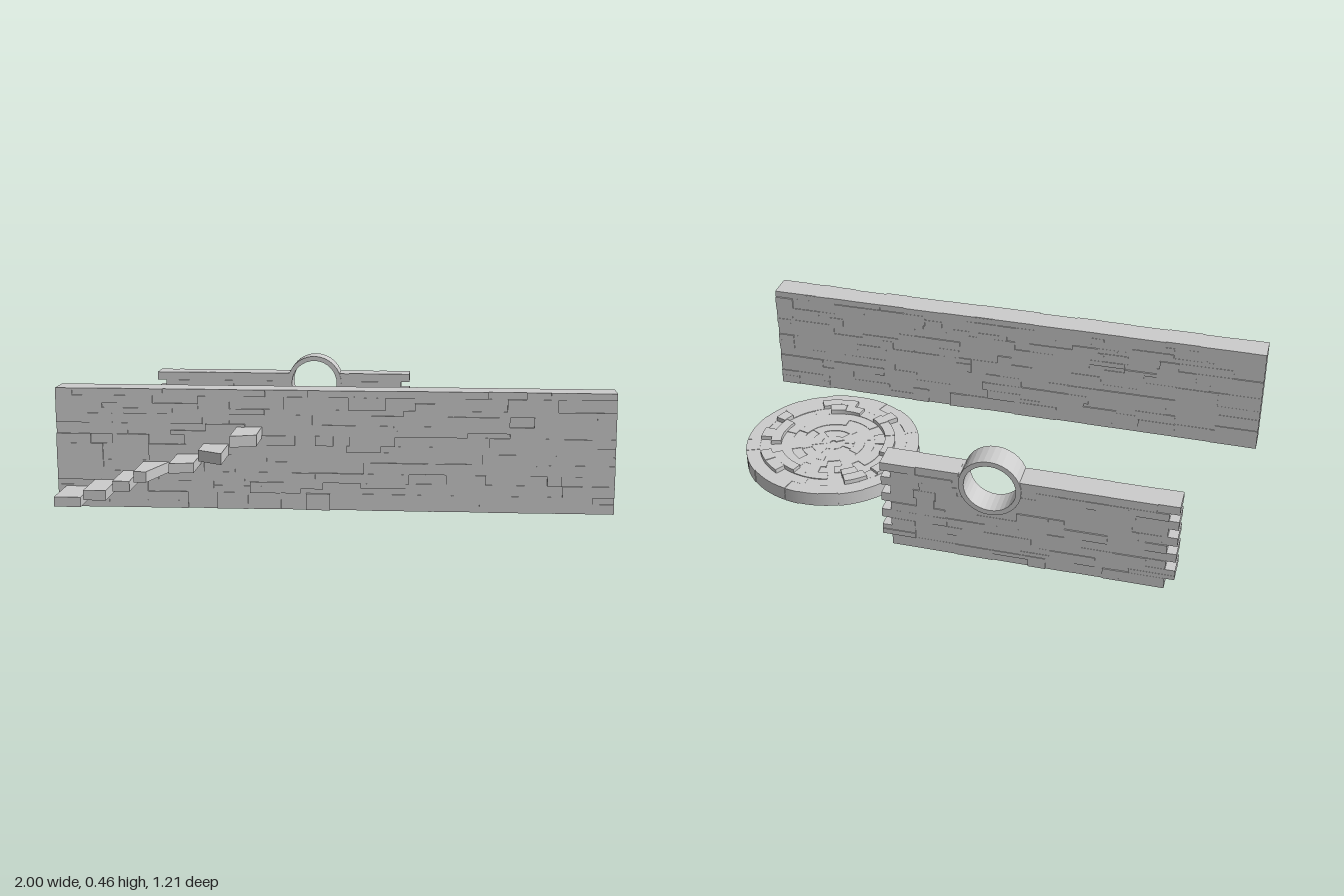
import * as THREE from 'three';
import { mergeGeometries } from 'three/addons/utils/BufferGeometryUtils.js';

const stone = new THREE.MeshStandardMaterial({ color: 0xcccccc, flatShading: true });

// Small seeded generator for the stonework
let seed = 7;
const rand = (a = 0, b = 1) => {
  seed = (seed * 16807) % 2147483647;
  return a + (b - a) * (seed / 2147483647);
};

// Merges indexed and non-indexed pieces into one part
function mesh(name, geometries) {
  const pieces = geometries.map((g) => (g.index ? g.toNonIndexed() : g));
  const m = new THREE.Mesh(mergeGeometries(pieces), stone);
  m.name = name;
  return m;
}

function block(x0, x1, y0, y1, z0, z1) {
  return new THREE.BoxGeometry(x1 - x0, y1 - y0, z1 - z0)
    .translate((x0 + x1) / 2, (y0 + y1) / 2, (z0 + z1) / 2);
}

function extrude(shape, depth, curveSegments = 12) {
  return new THREE.ExtrudeGeometry(shape, { depth, bevelEnabled: false, curveSegments });
}

// Upright prism over a plan outline of [x, z] corners
function prism(plan, y0, y1) {
  const shape = new THREE.Shape(plan.map(([x, z]) => new THREE.Vector2(x, -z)));
  return extrude(shape, y1 - y0).rotateX(-Math.PI / 2).translate(0, y0, 0);
}

// Calls place(x0, x1, y0, y1) for each stone of a coursed wall
function courses(rows, left, right, place) {
  for (let r = 0; r < rows.length - 1; r++) {
    let x = left;
    while (x < right) {
      let x1 = x + rand(0.05, 0.17);
      if (right - x1 < 0.05) x1 = right;
      const [y0, y1] = [rows[r], rows[r + 1]];
      if (y1 - y0 > 0.04 && rand() < 0.35) {
        const mid = y0 + (y1 - y0) * rand(0.35, 0.65);
        place(x, x1, y0, mid);
        place(x, x1, mid, y1);
      } else place(x, x1, y0, y1);
      x = x1;
    }
  }
}

// Long straight wall, each stone running through its thickness
function longWall() {
  const rows = [0.03, 0.09, 0.13, 0.165, 0.205, 0.265, 0.3, 0.34, 0.375, 0.395, 0.44, 0.465];
  const parts = [block(-0.995, 0.995, 0.031, 0.462, 0.33, 0.42)];
  courses(rows, -1, 1, (x0, x1, y0, y1) =>
    parts.push(block(x0, x1, y0, y1, rand(0.324, 0.331), rand(0.42, 0.43))));
  return mesh('longWall', parts);
}

// Cantilevered steps climbing the wall, the upper ones with broken ends
function stairs() {
  const group = new THREE.Group();
  group.name = 'stairs';
  const z = 0.41, tip = 0.603;
  // left, right at the wall, right at the tip, tip z on each side, underside, top
  const steps = [
    [-0.97, -0.875, -0.875, tip, tip, 0.07, 0.105],
    [-0.865, -0.785, -0.785, tip, tip, 0.095, 0.13],
    [-0.76, -0.7, -0.7, tip, tip, 0.128, 0.165],
    [-0.685, -0.585, -0.64, tip, tip, 0.162, 0.2],
    [-0.56, -0.475, -0.475, tip, 0.585, 0.195, 0.23],
    [-0.465, -0.375, -0.375, 0.545, tip, 0.228, 0.268],
    [-0.345, -0.255, -0.255, tip, 0.575, 0.29, 0.33],
  ];
  for (const [x0, x1, xTip, zl, zr, y0, y1] of steps) {
    group.add(mesh('step', [prism([[x0, z], [x0, zl], [xTip, zr], [x1, z]], y0, y1)]));
  }
  return group;
}

// Short wall with toothed ends and a round window rising above its top
function windowWall() {
  const group = new THREE.Group();
  group.name = 'windowWall';
  const rows = [0.03, 0.075, 0.115, 0.15, 0.185, 0.22, 0.255, 0.29, 0.325, 0.355, 0.388];
  const cx = -0.148, cy = 0.347, outer = 0.113, inner = 0.094, top = rows[10];
  const left = (r) => (r % 2 ? -0.81 : -0.775);
  const right = (r) => (r % 2 ? 0.25 : 0.215);

  // Core outline: up the right teeth, around the window, down the left teeth
  const a = Math.asin((top - cy) / outer);
  const shape = new THREE.Shape();
  shape.moveTo(left(0), rows[0]);
  for (let r = 0; r < 10; r++) {
    shape.lineTo(right(r), rows[r]);
    shape.lineTo(right(r), rows[r + 1]);
  }
  shape.absarc(cx, cy, outer - 0.002, a, -Math.PI - a, true);
  for (let r = 9; r >= 0; r--) {
    shape.lineTo(left(r), rows[r + 1]);
    if (r > 0) shape.lineTo(left(r), rows[r]);
  }
  const parts = [extrude(shape, 0.09, 16).translate(0, 0, -0.6)];

  // Facing stones on both sides, leaving the window clear
  for (let r = 0; r < 10; r++) {
    courses([rows[r], rows[r + 1]], left(r), right(r), (x0, x1, y0, y1) => {
      const dx = Math.max(x0 - cx, cx - x1, 0), dy = Math.max(y0 - cy, cy - y1, 0);
      if (Math.hypot(dx, dy) > outer - 0.01) {
        parts.push(block(x0, x1, y0, y1, rand(-0.605, -0.599), rand(-0.511, -0.505)));
      }
    });
  }
  group.add(mesh('masonry', parts));

  // Stone ring lining the window
  const ring = new THREE.Shape().absarc(cx, cy, outer, 0, Math.PI * 2);
  ring.holes.push(new THREE.Path().absarc(cx, cy, inner, 0, Math.PI * 2, true));
  group.add(mesh('windowRing', [extrude(ring, 0.1, 16).translate(0, 0, -0.605)]));
  return group;
}

// Round paved platform made of concentric rings of stones
function platform() {
  const group = new THREE.Group();
  group.name = 'roundPlatform';
  group.position.set(0.625, 0, -0.09);
  group.add(mesh('platformCore', [new THREE.CylinderGeometry(0.337, 0.337, 0.053, 48).translate(0, 0.03, 0)]));

  const radii = [0.012, 0.045, 0.085, 0.125, 0.165, 0.205, 0.245, 0.288, 0.343];
  const paving = [], raised = [];
  for (let i = 0; i < radii.length - 1; i++) {
    const count = 6 + i * 3, offset = rand(0, 1);
    const cuts = Array.from({ length: count }, (_, k) =>
      ((k + offset + rand(-0.25, 0.25)) / count) * Math.PI * 2);
    for (let k = 0; k < count; k++) {
      const a0 = cuts[k];
      const a1 = k + 1 < count ? cuts[k + 1] : cuts[0] + Math.PI * 2;
      const tall = (i === 5 || i === 6) && rand() < 0.4;
      const sector = new THREE.Shape()
        .absarc(0, 0, i === 7 ? rand(0.339, 0.343) : radii[i + 1], a0, a1)
        .absarc(0, 0, radii[i], a1, a0, true);
      const y0 = rand(0, 0.004), y1 = tall ? rand(0.071, 0.077) : rand(0.056, 0.061);
      (tall ? raised : paving).push(
        extrude(sector, y1 - y0, 5).rotateX(-Math.PI / 2).translate(0, y0, 0));
    }
  }
  group.add(mesh('paving', paving), mesh('raisedStones', raised));
  return group;
}

export function createModel() {
  seed = 7;
  const model = new THREE.Group();
  model.name = 'ruins';
  model.add(longWall(), stairs(), windowWall(), platform());
  return model;
}
